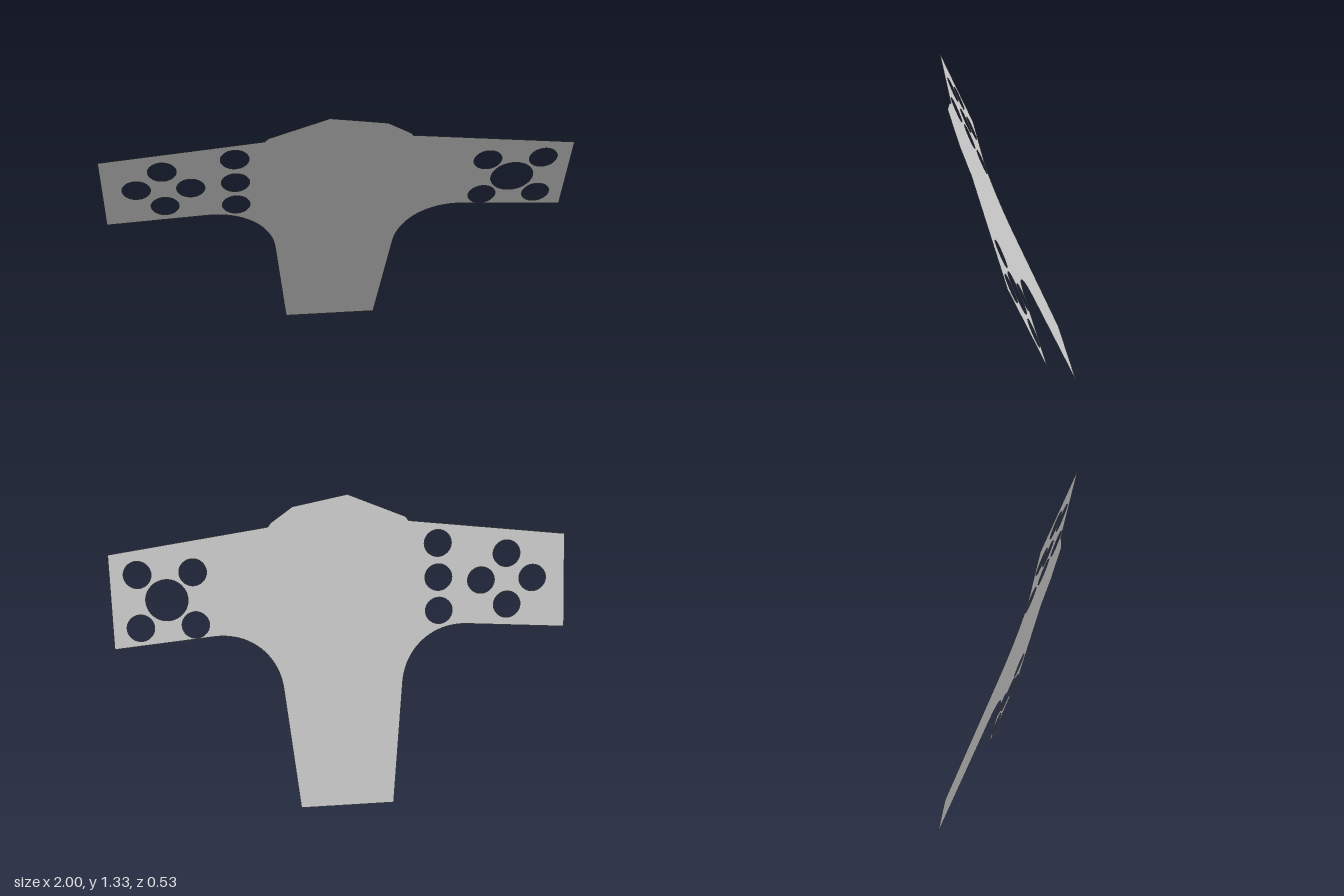
import * as THREE from 'three';

const HEIGHT = 1.328;          // upright height of the leaning sheet
const DEPTH = 0.532;           // how far it leans forward
const LEAN = Math.atan2(DEPTH, HEIGHT);
const onSheet = (y) => y / Math.cos(LEAN); // upright height -> distance along the sheet

export function createModel() {
  const group = new THREE.Group();
  group.name = 'leaningSheet';

  // T-shaped outline with filleted inner corners and an uneven crown
  const shape = new THREE.Shape();
  const line = (x, y) => shape.lineTo(x, onSheet(y));
  const curve = (a, b, c, d, e, f) =>
    shape.bezierCurveTo(a, onSheet(b), c, onSheet(d), e, onSheet(f));

  shape.moveTo(-0.213, 0);
  line(0.211, 0);
  line(0.267, 0.53);
  curve(0.282, 0.678, 0.405, 0.778, 0.56, 0.768);
  line(1, 0.735);
  line(1, 1.127);
  line(0.305, 1.21);
  line(0.292, 1.226);
  line(0.195, 1.288);
  line(-0.045, HEIGHT);
  line(-0.295, 1.228);
  line(-0.31, 1.21);
  line(-1, 1.127);
  line(-1, 0.735);
  line(-0.56, 0.768);
  curve(-0.405, 0.778, -0.282, 0.678, -0.267, 0.53);
  shape.closePath();

  // Round holes: [x, upright y, radius]
  const r = 0.06;
  const holes = [
    // diamond of four and column of three on one arm
    [-0.856, 0.949, r], [-0.626, 0.949, r], [-0.741, 1.056, r], [-0.741, 0.842, r],
    [-0.436, 1.112, r], [-0.436, 0.97, r], [-0.436, 0.83, r],
    // four around a larger one on the other arm
    [0.64, 1.04, r], [0.88, 1.04, r], [0.64, 0.821, r], [0.88, 0.819, r],
    [0.759, 0.93, 0.092],
  ];
  for (const [x, y, radius] of holes) {
    const hole = new THREE.Path();
    hole.absarc(x, onSheet(y), radius, 0, Math.PI * 2, true);
    shape.holes.push(hole);
  }

  // Thin sheet, leaning forward at the top
  const sheet = new THREE.Mesh(
    new THREE.ShapeGeometry(shape, 20),
    new THREE.MeshStandardMaterial({ color: 0xcccccc, side: THREE.DoubleSide }),
  );
  sheet.name = 'perforatedSheet';
  sheet.rotation.x = LEAN;
  sheet.position.z = -DEPTH / 2;
  group.add(sheet);

  return group;
}
